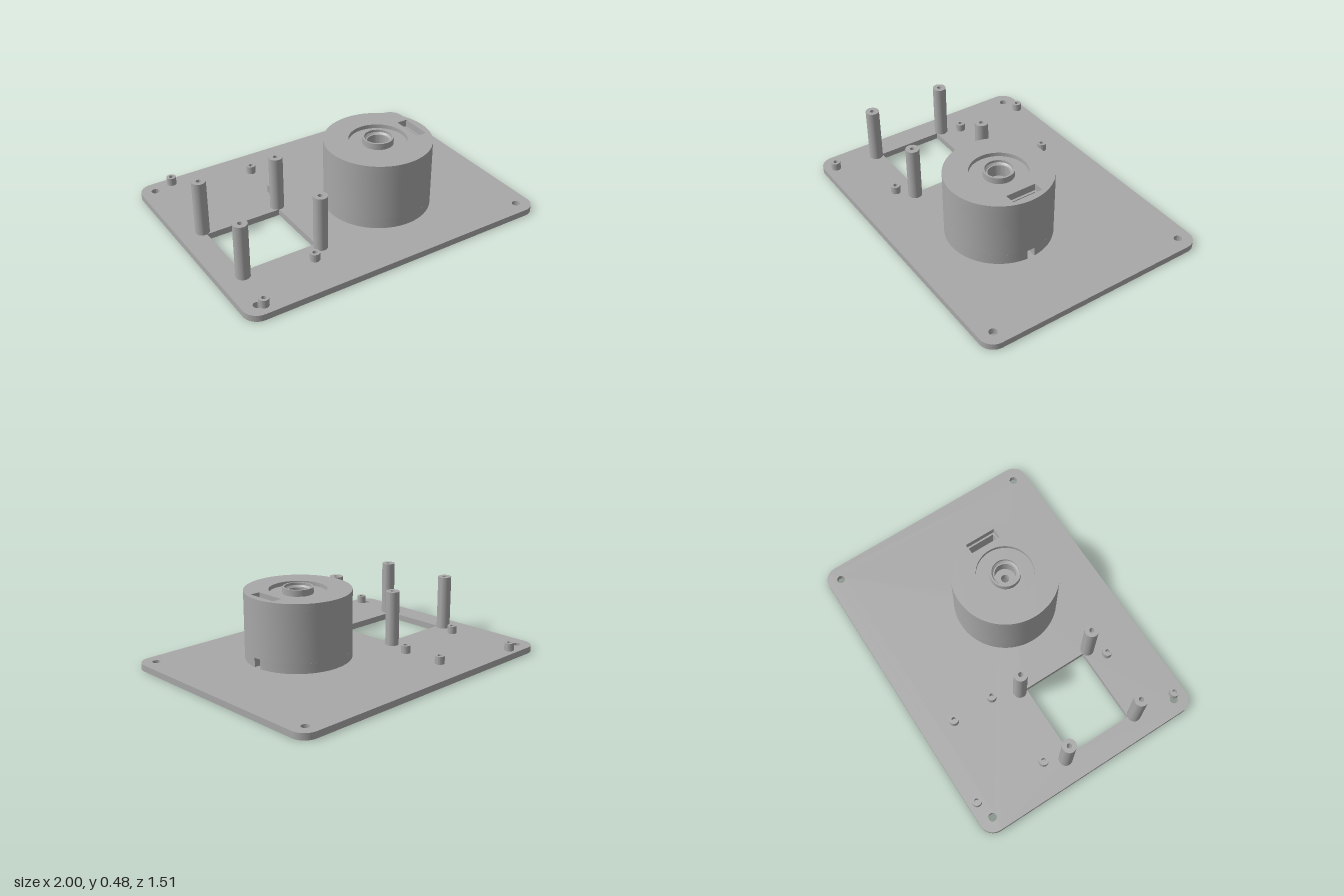
import * as THREE from 'three';
import { toCreasedNormals } from 'three/addons/utils/BufferGeometryUtils.js';

const BASE_TOP = 0.04;
const HUB = { x: 0.217, z: 0.15, r: 0.33 };

// Shapes are drawn in plan with shape y = -z, then extruded upwards
const circle = (x, z, r) => new THREE.Path().absarc(x, -z, r, 0, Math.PI * 2, true);
const disc = (r) => new THREE.Shape().absarc(0, 0, r, 0, Math.PI * 2, false);
const rect = (x0, x1, z0, z1) => new THREE.Path([
  new THREE.Vector2(x0, -z0), new THREE.Vector2(x1, -z0),
  new THREE.Vector2(x1, -z1), new THREE.Vector2(x0, -z1),
]);

function slab(shape, holes, y0, y1) {
  shape.holes.push(...holes);
  const g = new THREE.ExtrudeGeometry(shape, { depth: y1 - y0, bevelEnabled: false, curveSegments: 40 });
  g.rotateX(-Math.PI / 2);
  g.translate(0, y0, 0);
  return toCreasedNormals(g, 0.5);
}

function lathe(points, segments) {
  const g = new THREE.LatheGeometry(points.map(([r, y]) => new THREE.Vector2(r, y)), segments);
  return toCreasedNormals(g, 0.5);
}

export function createModel() {
  const model = new THREE.Group();
  model.name = 'mountingPlate';
  const grey = new THREE.MeshStandardMaterial({ color: 0xa8a8a8 });
  grey.name = 'grey plastic';
  const add = (parent, name, geometry) => {
    const mesh = new THREE.Mesh(geometry, grey);
    mesh.name = name;
    parent.add(mesh);
    return mesh;
  };

  // Base plate with rounded corners, screw holes, window and hub bore
  const w = 1, d = 0.755, c = 0.09;
  const outline = new THREE.Shape();
  outline.absarc(w - c, d - c, c, 0, Math.PI / 2, false);
  outline.absarc(-w + c, d - c, c, Math.PI / 2, Math.PI, false);
  outline.absarc(-w + c, -d + c, c, Math.PI, Math.PI * 1.5, false);
  outline.absarc(w - c, -d + c, c, Math.PI * 1.5, Math.PI * 2, false);
  const openings = [rect(-0.845, -0.358, -0.066, 0.362), circle(HUB.x, HUB.z, 0.073)];
  for (const x of [-0.91, 0.91]) for (const z of [-0.668, 0.665]) openings.push(circle(x, z, 0.025));
  add(model, 'basePlate', slab(outline, openings, 0, BASE_TOP));

  // Round housing, stacked in layers around a cable slot
  const housing = new THREE.Group();
  housing.name = 'housing';
  housing.position.set(HUB.x, 0, HUB.z);
  model.add(housing);
  const bore = () => circle(0, 0, 0.095);
  const narrowSlot = () => rect(0.234, 0.274, -0.088, 0.088);
  const wideSlot = () => rect(0.219, 0.285, -0.1, 0.1);

  // Lowest layer: the slot opens to the side through a cable notch
  const n = 0.025, a = Math.asin(n / HUB.r);
  const notched = new THREE.Shape();
  notched.absarc(0, 0, HUB.r, a, Math.PI * 2 - a, false);
  for (const [x, y] of [[0.274, -n], [0.274, -0.088], [0.234, -0.088], [0.234, 0.088], [0.274, 0.088], [0.274, n]]) {
    notched.lineTo(x, y);
  }
  add(housing, 'housingFoot', slab(notched, [bore()], BASE_TOP, 0.1));
  add(housing, 'housingBody', slab(disc(HUB.r), [bore(), narrowSlot()], 0.1, 0.42));
  add(housing, 'housingShoulder', slab(disc(HUB.r), [bore(), wideSlot()], 0.42, 0.44));
  add(housing, 'housingRim', slab(disc(HUB.r), [circle(0, 0, 0.178), wideSlot()], 0.44, 0.465));

  // Stepped collar with a shaft hole, hollow from below
  add(housing, 'shaftCollar', lathe([
    [0.073, BASE_TOP], [0.095, BASE_TOP], [0.095, 0.48], [0.083, 0.48], [0.083, 0.465], [0.073, 0.455],
    [0.065, 0.455], [0.065, 0.38], [0.025, 0.38], [0.025, 0.33], [0.073, 0.33], [0.073, BASE_TOP],
  ], 48));

  // Standoffs with blind screw holes
  const standoff = (r, hole, top, floor) => lathe([
    [r, BASE_TOP], [r, top], [hole, top], [hole, floor], [0, floor],
  ], 28);
  const tall = standoff(0.043, 0.015, 0.39, 0.25);
  for (const x of [-0.855, -0.348]) {
    for (const z of [-0.107, 0.4]) add(model, 'tallStandoff', tall).position.set(x, 0, z);
  }
  const short = standoff(0.03, 0.014, 0.09, 0.045);
  const spots = [[-0.785, -0.698], [-0.29, -0.55], [-0.29, -0.277], [-0.798, -0.23], [-0.441, 0.487], [-0.88, 0.684]];
  for (const [x, z] of spots) add(model, 'shortStandoff', short).position.set(x, 0, z);

  // Foot of the standoff that overhangs a screw hole
  const foot = add(model, 'standoffFoot', new THREE.CircleGeometry(0.03, 28).rotateX(Math.PI / 2));
  foot.position.set(-0.88, BASE_TOP, 0.684);

  return model;
}
